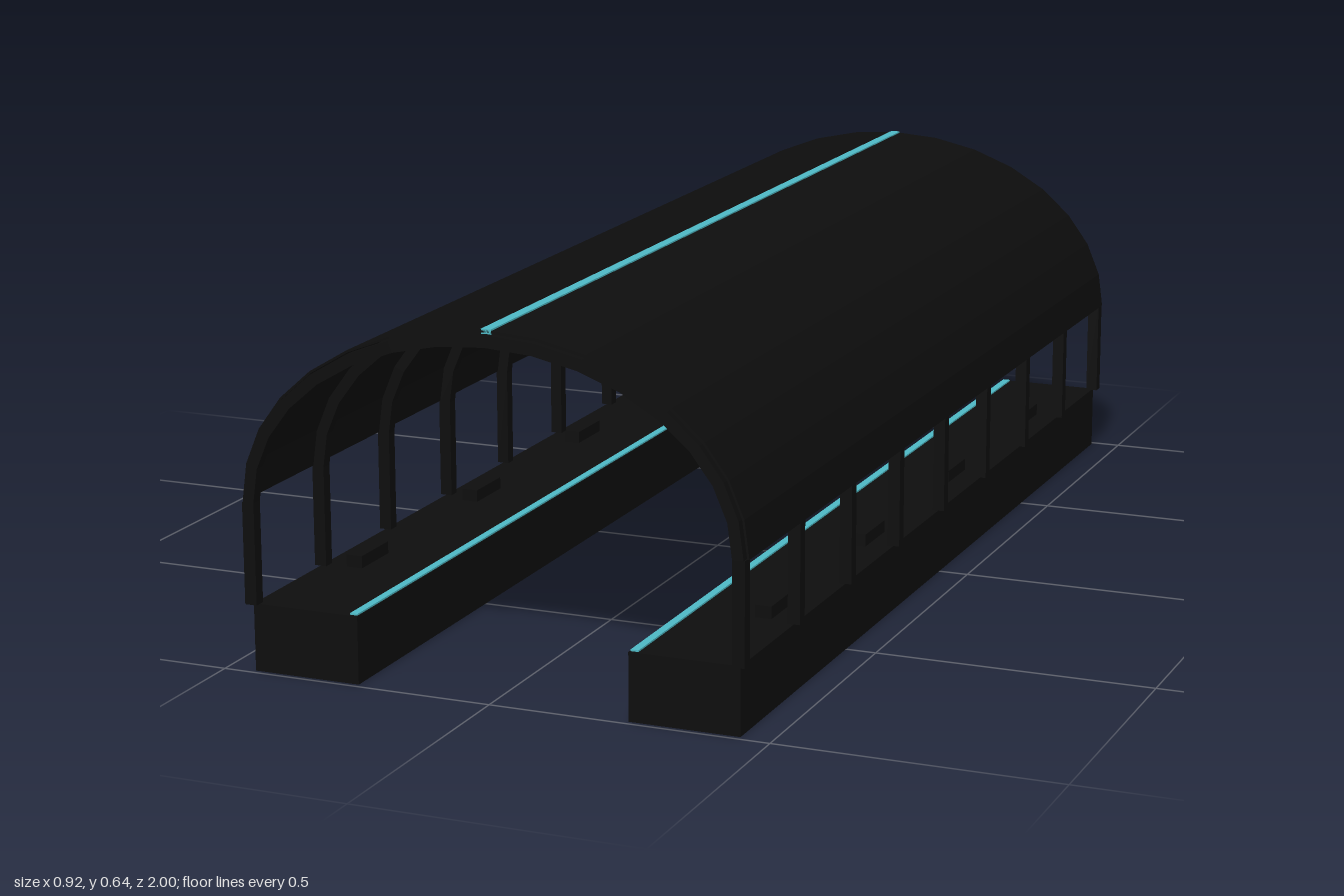
import * as THREE from 'three';

export function createModel() {
  const model = new THREE.Group();
  model.name = 'platformShelter';

  const black = new THREE.MeshStandardMaterial({ color: 0x0d0d0d });
  black.name = 'matte black';
  const cyan = new THREE.MeshStandardMaterial({ color: 0x4db8c4 });
  cyan.name = 'cyan light';

  const add = (name, geometry, material, x, y, z) => {
    const mesh = new THREE.Mesh(geometry, material);
    mesh.name = name;
    mesh.position.set(x, y, z);
    model.add(mesh);
  };
  // box given by its bottom height
  const box = (name, w, h, d, material, x, bottom, z) =>
    add(name, new THREE.BoxGeometry(w, h, d), material, x, bottom + h / 2, z);

  // half-elliptical band with 16 straight segments, centred on z
  const SPRING = 0.3;
  const arch = (outerX, outerY, innerX, innerY, depth) => {
    const points = [];
    for (let i = 0; i <= 16; i++) {
      const a = (i / 16) * Math.PI;
      points.push(new THREE.Vector2(outerX * Math.cos(a), outerY * Math.sin(a)));
    }
    for (let i = 16; i >= 0; i--) {
      const a = (i / 16) * Math.PI;
      points.push(new THREE.Vector2(innerX * Math.cos(a), innerY * Math.sin(a)));
    }
    const geometry = new THREE.ExtrudeGeometry(new THREE.Shape(points), { depth, bevelEnabled: false });
    return geometry.translate(0, 0, -depth / 2);
  };

  // vaulted roof skin and ridge light, which also shows inside between the ribs
  add('roof', arch(0.46, 0.335, 0.456, 0.331, 1.98), black, 0, SPRING, 0);
  box('ridgeLight', 0.018, 0.014, 1.98, cyan, 0, 0.623, 0);

  // ribs with a post under each end
  const ribGeometry = arch(0.454, 0.329, 0.434, 0.308, 0.022);
  for (let i = 0; i < 9; i++) {
    const z = -0.989 + i * 0.24725;
    add('rib', ribGeometry, black, 0, SPRING, z);
    for (const side of [-1, 1]) box('post', 0.022, 0.18, 0.022, black, side * 0.445, 0.12, z);
  }

  // platforms with edge lights and benches
  for (const side of [-1, 1]) {
    box('platform', 0.197, 0.12, 1.98, black, side * 0.3465, 0, 0);
    box('edgeLight', 0.014, 0.003, 1.97, cyan, side * 0.257, 0.12, 0);
    for (const z of [-0.69, -0.23, 0.23, 0.69])
      box('bench', 0.03, 0.022, 0.1, black, side * 0.385, 0.12, z);
  }

  return model;
}
